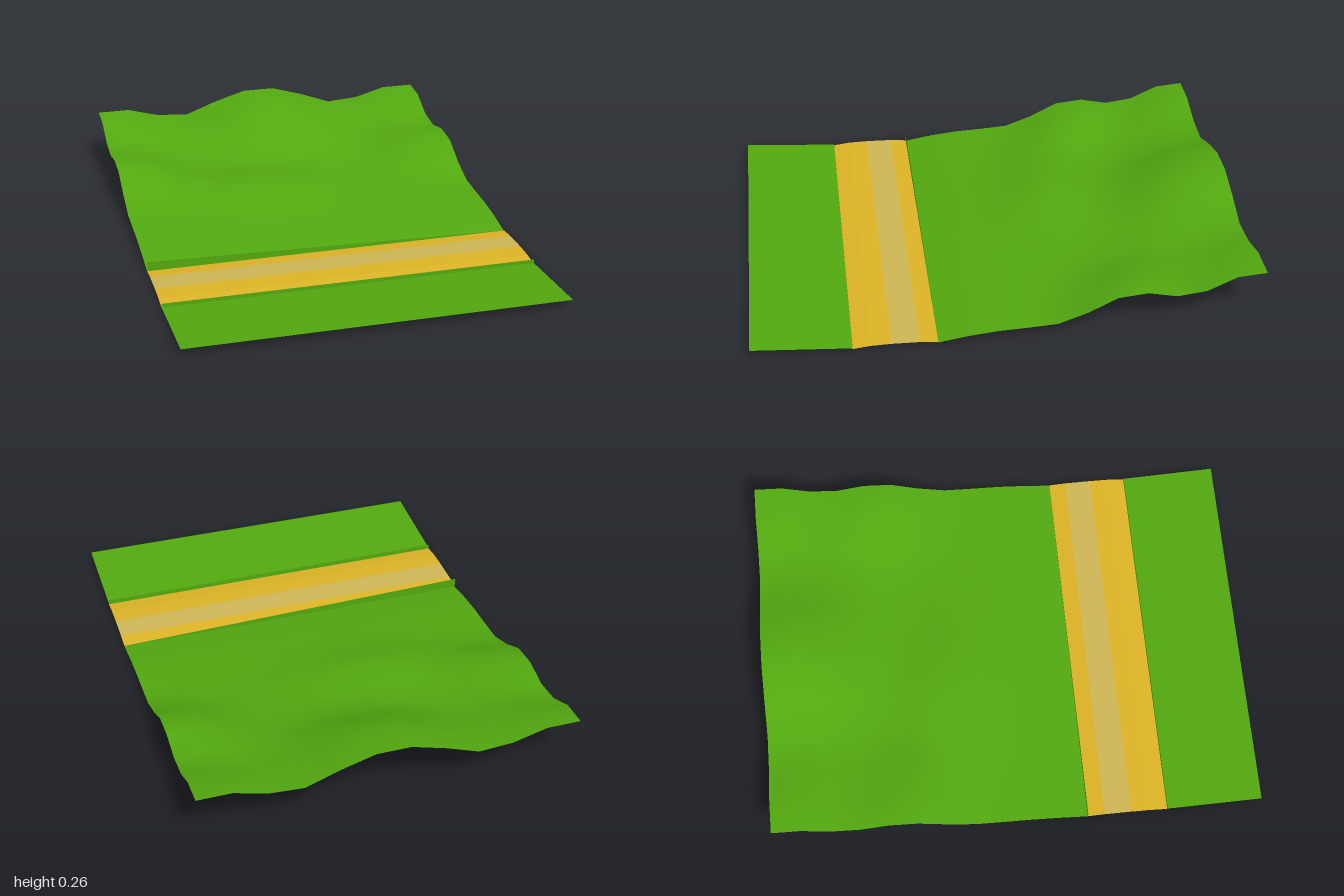
import * as THREE from 'three';

const paint = (name, color) => {
  const m = new THREE.MeshStandardMaterial({ color, side: THREE.DoubleSide });
  m.name = name;
  return m;
};

const HALF = 0.756;

// Sheet over the model's width: nx columns, one row per z value, height from a rule
function sheet(name, material, nx, rows, height) {
  const pos = [], index = [];
  rows.forEach((z, j) => {
    for (let i = 0; i <= nx; i++) {
      const x = -HALF + (2 * HALF * i) / nx;
      pos.push(x, height(x, j), z);
    }
  });
  const w = nx + 1;
  for (let j = 0; j < rows.length - 1; j++) {
    for (let i = 0; i < nx; i++) {
      const a = j * w + i, b = a + 1, c = a + w, d = c + 1;
      index.push(a, b, d, a, d, c);
    }
  }
  const g = new THREE.BufferGeometry();
  g.setAttribute('position', new THREE.Float32BufferAttribute(pos, 3));
  g.setIndex(index);
  g.computeVertexNormals();
  const mesh = new THREE.Mesh(g, material);
  mesh.name = name;
  return mesh;
}

// Upright lip across the width with its own height at each end
function lip(name, material, z, yLeft, yRight) {
  const s = new THREE.Shape([
    new THREE.Vector2(-HALF, 0), new THREE.Vector2(HALF, 0),
    new THREE.Vector2(HALF, yRight), new THREE.Vector2(-HALF, yLeft),
  ]);
  const mesh = new THREE.Mesh(new THREE.ShapeGeometry(s), material);
  mesh.name = name;
  mesh.position.z = z;
  return mesh;
}

export function createModel() {
  const group = new THREE.Group();
  group.name = 'hillsideWithPath';
  const grass = paint('grass green', 0x52a80f);
  const sand = paint('path yellow', 0xdcb326);
  const worn = paint('worn path tan', 0xcdb554);

  // Rolling hill: lengthwise profiles, listed from the front row to the back
  const base = [0, 0.02, 0.033, 0.038, 0.045, 0.058, 0.068, 0.08, 0.1, 0.12, 0.15, 0.16];
  const sides = [0, 0, 0, 0, 0, 0.03, 0.08, 0.08, 0.035, 0.03, 0.055, 0.055];
  const crest = [0, 0, 0, 0, 0, 0, 0, 0.015, 0.055, 0.105, 0.105, 0.105];
  const n = base.length;
  const zAt = (j) => 0.28 - (1.28 * j) / (n - 1);
  // reversed so the rows run from back to front
  const rows = base.map((_, k) => zAt(n - 1 - k));
  const hillHeight = (x, k) => {
    const j = n - 1 - k, z = zAt(j), ax = Math.abs(x);
    const side = THREE.MathUtils.smoothstep(ax, 0.4, 0.62);
    const mid = ax < 0.38 ? Math.cos((ax / 0.38) * Math.PI / 2) ** 1.4 : 0;
    const knoll = j < 2 ? 0 : 0.063 * Math.exp(-(((x + 0.17) / 0.3) ** 2) - ((z + 0.27) / 0.15) ** 2);
    return base[j] + sides[j] * side + crest[j] * mid + knoll;
  };
  group.add(sheet('hill', grass, 11, rows, hillHeight));

  // Path in three bands with a slight crown
  const band = (name, mat, z0, z1, y0, y1) =>
    group.add(sheet(name, mat, 1, [z0, z1], (x, j) => (j ? y1 : y0)));
  band('pathBackBand', sand, 0.28, 0.35, 0.002, 0.009);
  band('pathWornBand', worn, 0.35, 0.46, 0.009, 0.011);
  band('pathFrontBand', sand, 0.46, 0.54, 0.011, 0.009);
  band('pathFrontEdge', sand, 0.54, 0.61, 0.009, 0);

  // Front verge rising gently away from the path
  band('frontVerge', grass, 0.61, 1, 0.004, 0.03);

  // Turf lips along both sides of the path
  group.add(lip('backLip', grass, 0.28, 0.042, 0.003));
  group.add(lip('frontLip', grass, 0.61, 0.02, 0.02));
  return group;
}
